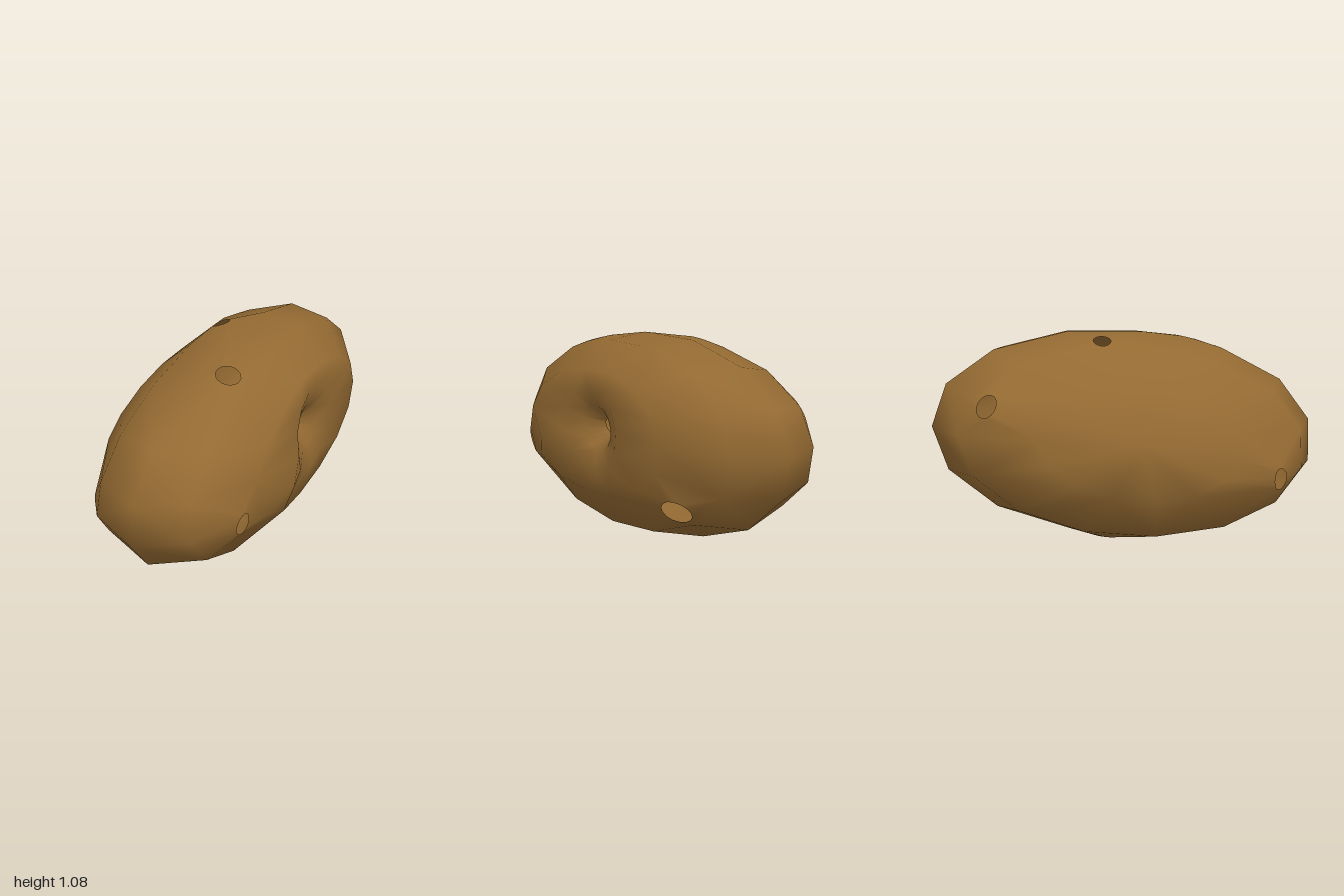
import * as THREE from 'three';
import { mergeVertices } from 'three/addons/utils/BufferGeometryUtils.js';
import { ConvexGeometry } from 'three/addons/geometries/ConvexGeometry.js';

const V = (x, y, z) => new THREE.Vector3(x, y, z);
const RADII = V(0.51, 0.537, 1.009);
const MID = 0.538;

// Openings in the skin: centre, half width, half height
const PIT = { at: V(0.49, 0.62, -0.01), w: 0.04, h: 0.04 };
const HOLES = [
  PIT,
  { at: V(0.35, 0.31, -0.61), w: 0.085, h: 0.075 },
  { at: V(0.42, 0.42, 0.70), w: 0.036, h: 0.065 },
  { at: V(-0.345, 0.36, 0.70), w: 0.042, h: 0.06 },
  { at: V(0.16, 0.985, 0.34), w: 0.062, h: 0.068 },
  { at: V(-0.13, 1.05, -0.14), w: 0.044, h: 0.048 },
  { at: V(-0.30, 0.76, -0.74), w: 0.05, h: 0.06 },
  { at: V(-0.10, 0.02, -0.13), w: 0.06, h: 0.045 },
];

// Bends an upright ellipsoid: narrow leaning left side, fuller right side, raised back
function bend({ x, y, z }) {
  const full = 1 + 1.9 * Math.max(x, 0) ** 3;
  return V(
    x + y * (0.07 - 0.31 * x + 0.3 * x * x),
    y * full + MID - 0.07 * z + 0.26 * x * x + 0.04 * x,
    z * full + 0.009,
  );
}

// Direction on the unit sphere -> point on the slightly boxy body
function toBody(d) {
  const p = 2.1;
  const n = (Math.abs(d.x) ** p + Math.abs(d.y) ** p + Math.abs(d.z) ** p) ** (1 / p);
  return bend(d.clone().divideScalar(n).multiply(RADII));
}

// The reverse of toBody, found by stepwise correction
function toDirection(point) {
  const q = point.clone().sub(V(0, MID, 0));
  for (let i = 0; i < 20; i++) {
    const error = point.clone().sub(bend(q));
    q.addScaledVector(error, 0.8);
  }
  return q.divide(RADII).normalize();
}

// Right side: deep funnel around the pit, a flat behind it and a shoulder in front
function dent(q) {
  const dy = q.y - PIT.at.y, dz = q.z - PIT.at.z;
  const fade = THREE.MathUtils.clamp(q.x / 0.4, 0, 1);
  const funnel = 0.22 * Math.exp(-Math.hypot(dy, dz) / 0.1);
  const flat = 0.03 * Math.exp(-(dy * dy) / 0.06 - ((dz + 0.1) ** 2) / 0.1);
  const shoulder = 0.05 * Math.exp(-((q.y - 0.5) ** 2 + (q.z - 0.34) ** 2) / 0.02);
  q.x += fade * (shoulder - funnel - flat);
  return q;
}

// Local axes of an opening, lying in the skin
function prepare(hole) {
  const d = toDirection(hole.at);
  const n = d.clone().divide(RADII).normalize();
  const u = V(0, 1, 0).cross(n).normalize();
  return { ...hole, centre: toBody(d), u, v: n.clone().cross(u) };
}

// Distance from the middle of an opening, 1 at its rim
function reach(hole, point) {
  const o = point.clone().sub(hole.centre);
  const a = o.dot(hole.u) / hole.w, b = o.dot(hole.v) / hole.h;
  return o.length() > 0.4 ? 99 : Math.hypot(a, b);
}

function ring(hole, size, count) {
  return Array.from({ length: count }, (_, i) => {
    const t = (i + 0.3) / count * Math.PI * 2;
    return toDirection(hole.centre.clone()
      .addScaledVector(hole.u, Math.cos(t) * hole.w * size)
      .addScaledVector(hole.v, Math.sin(t) * hole.h * size));
  });
}

function skinGeometry() {
  const holes = HOLES.map(prepare);

  // Coarse net with its poles at the two flat sides, an edge in front and a corner behind
  const net = [V(-1, 0, 0), V(1, 0, 0)];
  for (let j = 1; j < 6; j++) {
    for (let i = 0; i < 15; i++) {
      const a = j / 6 * Math.PI, t = (i + 0.5) / 15 * Math.PI * 2;
      net.push(V(Math.cos(a), Math.sin(a) * Math.sin(t), Math.sin(a) * Math.cos(t)));
    }
  }
  const points = net.filter((d) => holes.every((h) => reach(h, toBody(d)) > (h.at === PIT.at ? 7 : 1.25)));
  holes.forEach((h) => points.push(...ring(h, 1, 14)));
  points.push(...ring(holes[0], 3, 14), ...ring(holes[0], 6, 12), toDirection(V(0.46, 0.5, 0.33)));

  // The hull of the directions joins net and rims; faces inside a rim are left out
  const hull = new ConvexGeometry(points).getAttribute('position');
  const positions = [];
  for (let i = 0; i < hull.count; i += 3) {
    const face = [0, 1, 2].map((k) => V().fromBufferAttribute(hull, i + k));
    const middle = toBody(V(0, 0, 0).add(face[0]).add(face[1]).add(face[2]).normalize());
    if (holes.some((h) => reach(h, middle) < 0.97)) continue;
    face.forEach((d) => positions.push(...dent(toBody(d)).toArray()));
  }
  const faces = new THREE.BufferGeometry();
  faces.setAttribute('position', new THREE.Float32BufferAttribute(positions, 3));
  const skin = mergeVertices(faces, 1e-5);
  skin.computeVertexNormals();
  return skin;
}

export function createModel() {
  const skinBrown = new THREE.MeshStandardMaterial({ color: 0x946a32, side: THREE.DoubleSide });
  skinBrown.name = 'skinBrown';
  const skin = new THREE.Mesh(skinGeometry(), skinBrown);
  skin.name = 'potatoSkin';
  const group = new THREE.Group();
  group.name = 'potato';
  group.add(skin);
  return group;
}
